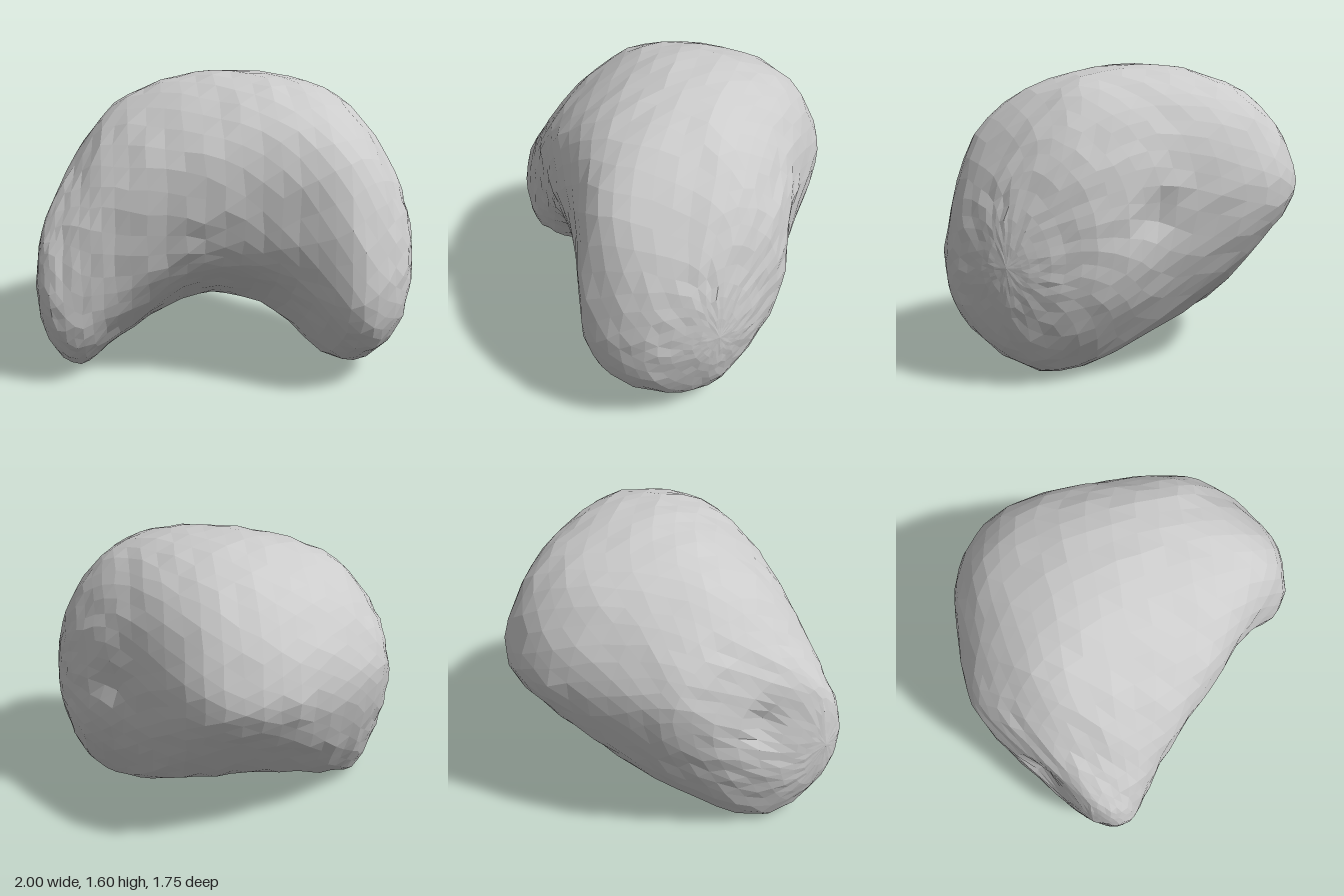
import * as THREE from 'three';

// Cross-sections from right to left: x, then eight [z, y] points running
// front, front top, top, back top, back, back bottom, bottom, inner lip.
const END_R = [-1, 0.36, 0.52];
const END_L = [1, 0.34, 0.62];
const SECTIONS = [
  [-0.95, [[0.51, 0.5], [0.46, 0.7], [0.32, 0.83], [0.2, 0.7], [0.14, 0.5], [0.18, 0.32], [0.3, 0.23], [0.45, 0.3]]],
  [-0.8, [[0.56, 0.4], [0.47, 0.86], [0.1, 1.12], [-0.25, 1.06], [-0.38, 0.83], [-0.2, 0.4], [0.11, 0.01], [0.42, 0.12]]],
  [-0.55, [[0.57, 0.6], [0.5, 1.08], [0, 1.42], [-0.42, 1.29], [-0.63, 0.95], [-0.46, 0.45], [-0.08, 0.1], [0.4, 0.3]]],
  [-0.15, [[0.645, 0.82], [0.57, 1.28], [0, 1.565], [-0.59, 1.42], [-0.86, 1.0], [-0.69, 0.62], [-0.25, 0.25], [0.43, 0.54]]],
  [0.25, [[0.72, 0.78], [0.63, 1.36], [0.05, 1.58], [-0.55, 1.42], [-0.82, 1.0], [-0.7, 0.65], [-0.2, 0.21], [0.48, 0.49]]],
  [0.6, [[0.86, 0.6], [0.69, 1.23], [0.15, 1.48], [-0.25, 1.31], [-0.42, 0.95], [-0.28, 0.45], [0.17, 0.01], [0.7, 0.25]]],
  [0.85, [[0.73, 0.6], [0.58, 0.99], [0.2, 1.21], [-0.05, 1.06], [-0.13, 0.8], [-0.08, 0.45], [0.25, 0.13], [0.6, 0.27]]],
  [0.97, [[0.5, 0.62], [0.44, 0.8], [0.33, 0.88], [0.22, 0.8], [0.16, 0.65], [0.2, 0.5], [0.33, 0.4], [0.45, 0.48]]],
];

// Small pits: centre, radius, depth
const PITS = [
  [new THREE.Vector3(0.66, 0.84, -0.28), 0.1, 0.07],
  [new THREE.Vector3(-0.88, 0.72, 0.03), 0.1, 0.06],
];
const CORE = new THREE.Vector3(0, 0.8, 0);

const wobble = (i, j, k) => {
  const s = Math.sin(i * 12.99 + j * 78.23 + k * 37.72) * 43758.55;
  return s - Math.floor(s) - 0.5;
};

function lobedGeometry(rings = 40, sides = 36) {
  const at = ([x, z, y]) => new THREE.Vector3(x, y, z);
  // One rail along x for each of the eight section points
  const rails = Array.from({ length: 8 }, (_, k) => new THREE.CatmullRomCurve3(
    [at(END_R), ...SECTIONS.map(([x, p]) => at([x, ...p[k]])), at(END_L)], false, 'catmullrom', 0.5));

  const positions = [];
  const indices = [];
  for (let i = 0; i <= rings; i++) {
    const loop = new THREE.CatmullRomCurve3(rails.map((r) => r.getPoint(i / rings)), true, 'catmullrom', 0.5);
    // Slight unevenness gives the faceted skin, fading out at the tips
    const rough = 0.014 * Math.min(1, Math.min(i, rings - i) / 8);
    for (let j = 0; j < sides; j++) {
      const p = loop.getPoint((j + (i % 2) * 0.5) / sides);
      for (const [centre, radius, depth] of PITS) {
        const d = p.distanceTo(centre) / radius;
        p.addScaledVector(CORE.clone().sub(p).normalize(), depth * Math.exp(-d * d));
      }
      p.add(new THREE.Vector3(wobble(i, j, 1), wobble(i, j, 2), wobble(i, j, 3)).multiplyScalar(rough));
      positions.push(p.x, p.y, p.z);
      if (i === rings) continue;
      const a = i * sides + j;
      const b = i * sides + ((j + 1) % sides);
      const c = a + sides;
      const d = b + sides;
      // Diagonals follow the half-step offset of alternate rings
      if (i % 2) indices.push(a, c, d, a, d, b);
      else indices.push(a, c, b, b, c, d);
    }
  }
  const geometry = new THREE.BufferGeometry();
  geometry.setAttribute('position', new THREE.Float32BufferAttribute(positions, 3));
  geometry.setIndex(indices);
  geometry.computeVertexNormals();
  return geometry;
}

export function createModel() {
  const group = new THREE.Group();
  const body = new THREE.Mesh(
    lobedGeometry(),
    new THREE.MeshStandardMaterial({ color: 0xcccccc, flatShading: true }),
  );
  body.name = 'lobedBody';
  group.add(body);
  return group;
}
